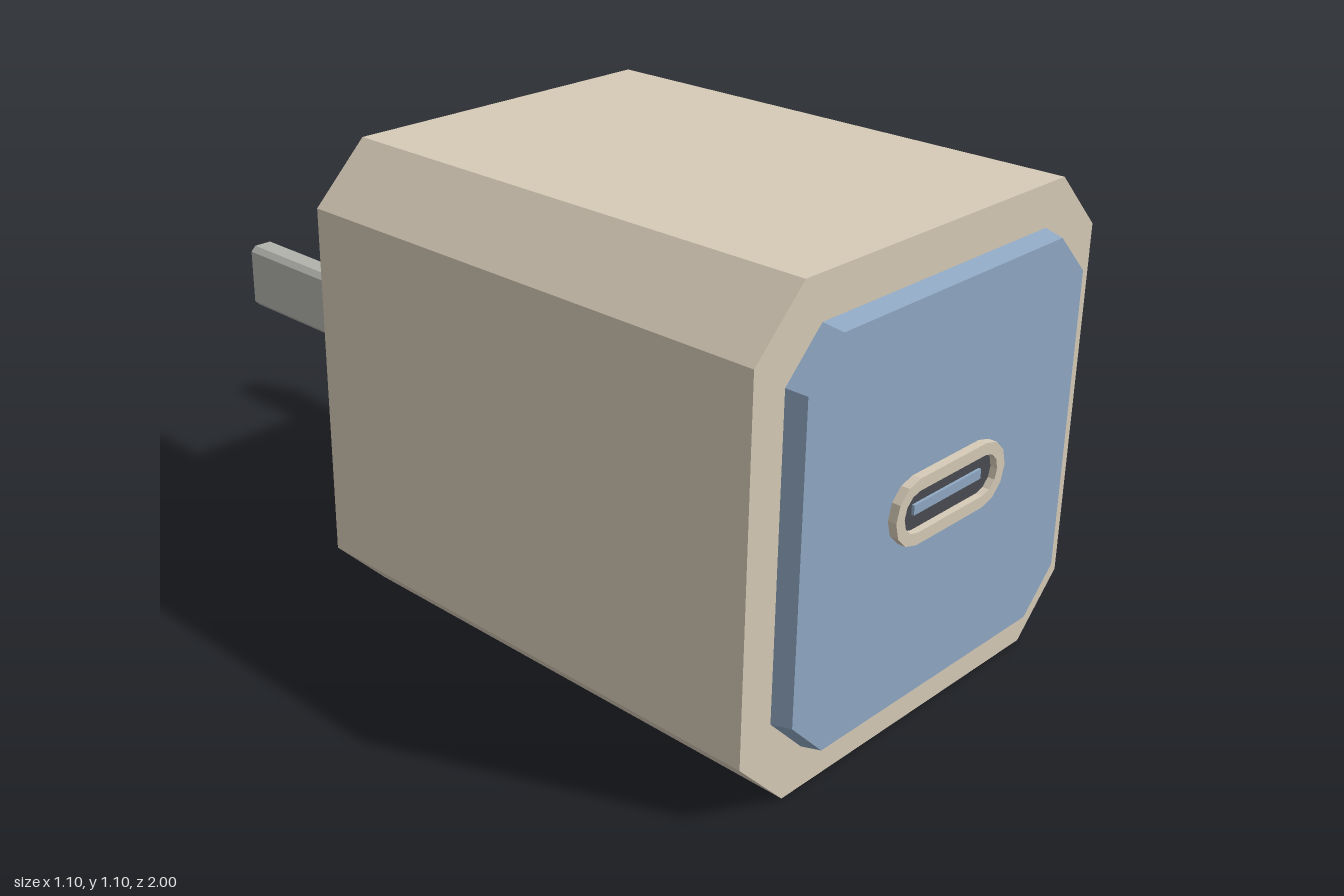
import * as THREE from 'three';

const CY = 0.5475; // height of the charger's centre line

// Corners of a rectangle with cut corners, counter-clockwise seen from +z
function cutRect([z, w, h, c]) {
  return [[w, c - h], [w, h - c], [w - c, h], [c - w, h], [-w, h - c], [-w, c - h], [c - w, -h], [w - c, -h]]
    .map(([x, y]) => [x, y, z]);
}

// Faceted solid through cut-corner sections [z, halfWidth, halfHeight, cut], back to front
function loft(sections) {
  const rings = sections.map(cutRect);
  const pos = [];
  const tri = (...points) => points.forEach((p) => pos.push(...p));
  for (let s = 0; s < rings.length - 1; s++) {
    const a = rings[s], b = rings[s + 1];
    for (let i = 0; i < 8; i++) {
      const j = (i + 1) % 8;
      tri(a[i], a[j], b[j]);
      tri(a[i], b[j], b[i]);
    }
  }
  const back = rings[0], front = rings[rings.length - 1];
  for (let i = 1; i < 7; i++) {
    tri(back[0], back[i + 1], back[i]);
    tri(front[0], front[i], front[i + 1]);
  }
  const geometry = new THREE.BufferGeometry();
  geometry.setAttribute('position', new THREE.Float32BufferAttribute(pos, 3));
  geometry.computeVertexNormals();
  return geometry;
}

// Pill outline with straight half-length l and end radius r
function pill(l, r, Type = THREE.Shape) {
  const shape = new Type();
  shape.absarc(l, 0, r, -Math.PI / 2, Math.PI / 2);
  shape.absarc(-l, 0, r, Math.PI / 2, Math.PI * 1.5);
  shape.closePath();
  return shape;
}

const extrude = (shape, depth) =>
  new THREE.ExtrudeGeometry(shape, { depth, bevelEnabled: false, curveSegments: 3 });

export function createModel() {
  const group = new THREE.Group();
  const material = (name, color) => {
    const m = new THREE.MeshStandardMaterial({ color });
    m.name = name;
    return m;
  };
  const beige = material('beige', 0xd6cab7);
  const blue = material('blue', 0x8fa8c3);
  const metal = material('metal', 0xb2b2ad);
  const dark = material('dark', 0x4a4a52);

  const add = (name, geometry, mat, x = 0, z = 0) => {
    const mesh = new THREE.Mesh(geometry, mat);
    mesh.name = name;
    mesh.position.set(x, CY, z);
    group.add(mesh);
  };

  // Housing with cut edges and a tapered back
  add('housing', loft([
    [-0.447, 0.42, 0.42, 0.06],
    [-0.3, 0.5475, 0.5475, 0.132],
    [0.935, 0.5475, 0.5475, 0.132],
  ]), beige);

  // Raised front panel
  add('frontPanel', loft([
    [0.935, 0.46, 0.451, 0.098],
    [0.98, 0.45, 0.442, 0.095],
  ]), blue);

  // Socket: rim, dark opening and tongue
  const rim = pill(0.111, 0.073);
  rim.holes.push(pill(0.111, 0.046, THREE.Path));
  add('socketRim', extrude(rim, 0.022), beige, 0, 0.978);
  add('socketOpening', extrude(pill(0.111, 0.047), 0.006), dark, 0, 0.978);
  add('socketTongue', new THREE.BoxGeometry(0.226, 0.022, 0.009), blue, 0, 0.986);

  // Two flat prongs with bevelled edges and tips
  for (const side of [-1, 1]) {
    add(side > 0 ? 'leftProng' : 'rightProng', loft([
      [-1, 0.024, 0.069, 0.006],
      [-0.987, 0.036, 0.081, 0.013],
      [-0.44, 0.036, 0.081, 0.013],
    ]), metal, side * 0.225);
  }
  return group;
}
